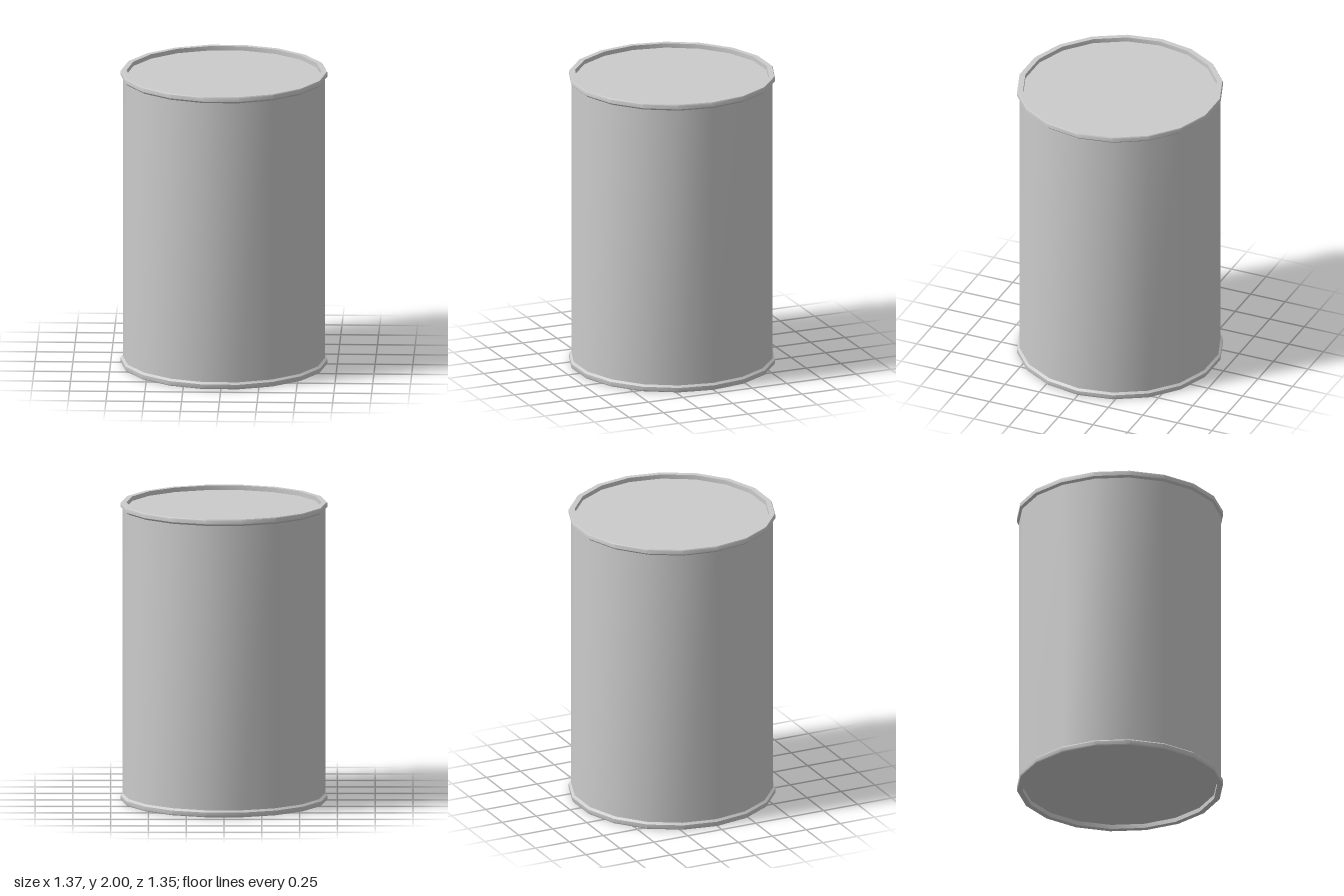
import * as THREE from 'three';
import { toCreasedNormals } from 'three/addons/utils/BufferGeometryUtils.js';

const SIDES = 18;
const HEIGHT = 2;
const START = Math.PI / 2; // puts a corner on the x axis
const material = new THREE.MeshStandardMaterial({ color: 0xcccccc });

function part(name, geometry) {
  const mesh = new THREE.Mesh(toCreasedNormals(geometry, 0.6), material);
  mesh.name = name;
  return mesh;
}

function lathe(points) {
  const profile = points.map(([r, y]) => new THREE.Vector2(r, y));
  return new THREE.LatheGeometry(profile, SIDES, START);
}

// Rolled rim with a recessed lid; y = 0 is the outermost plane of the can
function createEnd(name) {
  const end = new THREE.Group();
  end.name = name;
  end.add(part(name + 'Rim', lathe([
    [0.67, -0.045], [0.685, -0.032], [0.685, -0.006], [0.681, 0],
    [0.645, 0], [0.645, -0.03],
  ])));
  const disc = new THREE.CircleGeometry(0.645, SIDES).rotateX(-Math.PI / 2);
  disc.translate(0, -0.03, 0);
  end.add(part(name + 'Lid', disc));
  return end;
}

export function createModel() {
  const can = new THREE.Group();
  can.name = 'can';

  // Smooth side wall
  const wall = new THREE.CylinderGeometry(0.67, 0.67, HEIGHT - 0.08, SIDES, 1, true, START);
  wall.translate(0, HEIGHT / 2, 0);
  can.add(part('body', wall));

  // Matching ends, the lower one turned over
  const top = createEnd('top');
  top.position.y = HEIGHT;
  const bottom = createEnd('bottom');
  bottom.rotation.x = Math.PI;
  can.add(top, bottom);

  return can;
}
